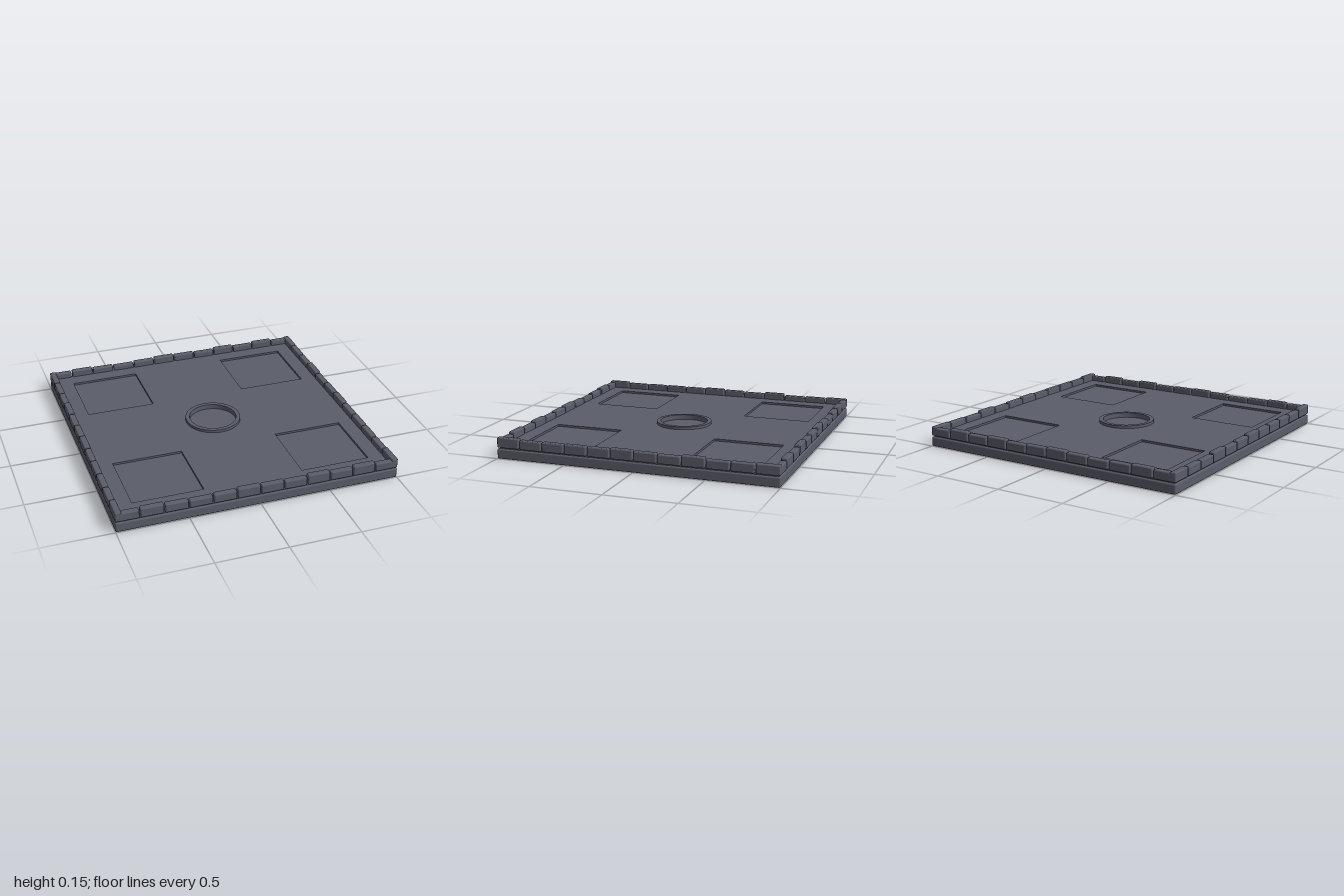
import * as THREE from 'three';
import { RoundedBoxGeometry } from 'three/addons/geometries/RoundedBoxGeometry.js';

export function createModel() {
  const stone = new THREE.MeshStandardMaterial({ color: 0x5a5c69 });
  stone.name = 'slate stone';
  const model = new THREE.Group();
  model.name = 'stoneFloorTile';

  function add(name, geometry, x, y, z, parent = model) {
    const mesh = new THREE.Mesh(geometry, stone);
    mesh.name = name;
    mesh.position.set(x, y, z);
    parent.add(mesh);
    return mesh;
  }

  // Bevelled foundation and the inset core that forms the shadow groove
  add('foundation', new RoundedBoxGeometry(2, 0.07, 2, 2, 0.01), 0, 0.035, 0);
  add('core', new THREE.BoxGeometry(1.97, 0.03, 1.97), 0, 0.07, 0);

  // Floor plate with four square recesses and a round well
  const floor = new THREE.Shape();
  const half = 0.975;
  floor.moveTo(-half, -half).lineTo(half, -half).lineTo(half, half).lineTo(-half, half).closePath();
  for (const sx of [-1, 1]) for (const sy of [-1, 1]) {
    const x = sx * 0.6, y = sy * 0.6, r = 0.248;
    const hole = new THREE.Path();
    hole.moveTo(x - r, y - r).lineTo(x - r, y + r).lineTo(x + r, y + r).lineTo(x + r, y - r).closePath();
    floor.holes.push(hole);
  }
  const well = new THREE.Path();
  well.absarc(0, 0, 0.17, 0, Math.PI * 2, true);
  floor.holes.push(well);
  const plate = new THREE.ExtrudeGeometry(floor, { depth: 0.017, bevelEnabled: false, curveSegments: 32 });
  plate.rotateX(-Math.PI / 2);
  add('floorPlate', plate, 0, 0.083, 0);

  // Raised ring around the well
  const profile = [[0.17, 0.085], [0.2, 0.085], [0.2, 0.12], [0.17, 0.12], [0.17, 0.085]];
  const corners = [];
  // Each profile side is its own lathe, so the edges stay sharp
  const ring = new THREE.Group();
  ring.name = 'centreRing';
  model.add(ring);
  for (let i = 0; i < 4; i++) {
    const side = [profile[i], profile[i + 1]].map(([r, y]) => new THREE.Vector2(r, y));
    add('ringFace', new THREE.LatheGeometry(side, 64), 0, 0, 0, ring);
  }

  // Twelve uneven blocks along each edge, listed by top height
  const pitch = 2 / 12, gap = 0.008, bottom = 0.077, depth = 0.045;
  const frontTops = [0.14, 0.147, 0.14, 0.135, 0.142, 0.15, 0.145, 0.14, 0.15, 0.14, 0.15, 0.137];
  const sideTops = [0.145, 0.141, 0.138, 0.15, 0.14, 0.145, 0.15, 0.144, 0.145, 0.144, 0.142, 0.15];
  function edge(name, tops, place) {
    const row = new THREE.Group();
    row.name = name;
    model.add(row);
    tops.forEach((top, i) => {
      const start = i === 0 ? -1 : -1 + i * pitch + gap / 2;
      const end = i === 11 ? 1 : -1 + (i + 1) * pitch - gap / 2;
      place(row, (start + end) / 2, end - start, top - bottom, (top + bottom) / 2);
    });
  }
  const inset = 1 - depth / 2;
  for (const s of [-1, 1]) {
    edge(s > 0 ? 'frontBlocks' : 'backBlocks', frontTops, (row, along, length, height, y) =>
      add('rimBlock', new RoundedBoxGeometry(length, height, depth, 2, 0.009), along, y, s * inset, row));
    edge(s > 0 ? 'leftBlocks' : 'rightBlocks', sideTops, (row, along, length, height, y) =>
      add('rimBlock', new RoundedBoxGeometry(depth, height, length, 2, 0.009), s * inset, y, along, row));
  }
  return model;
}
